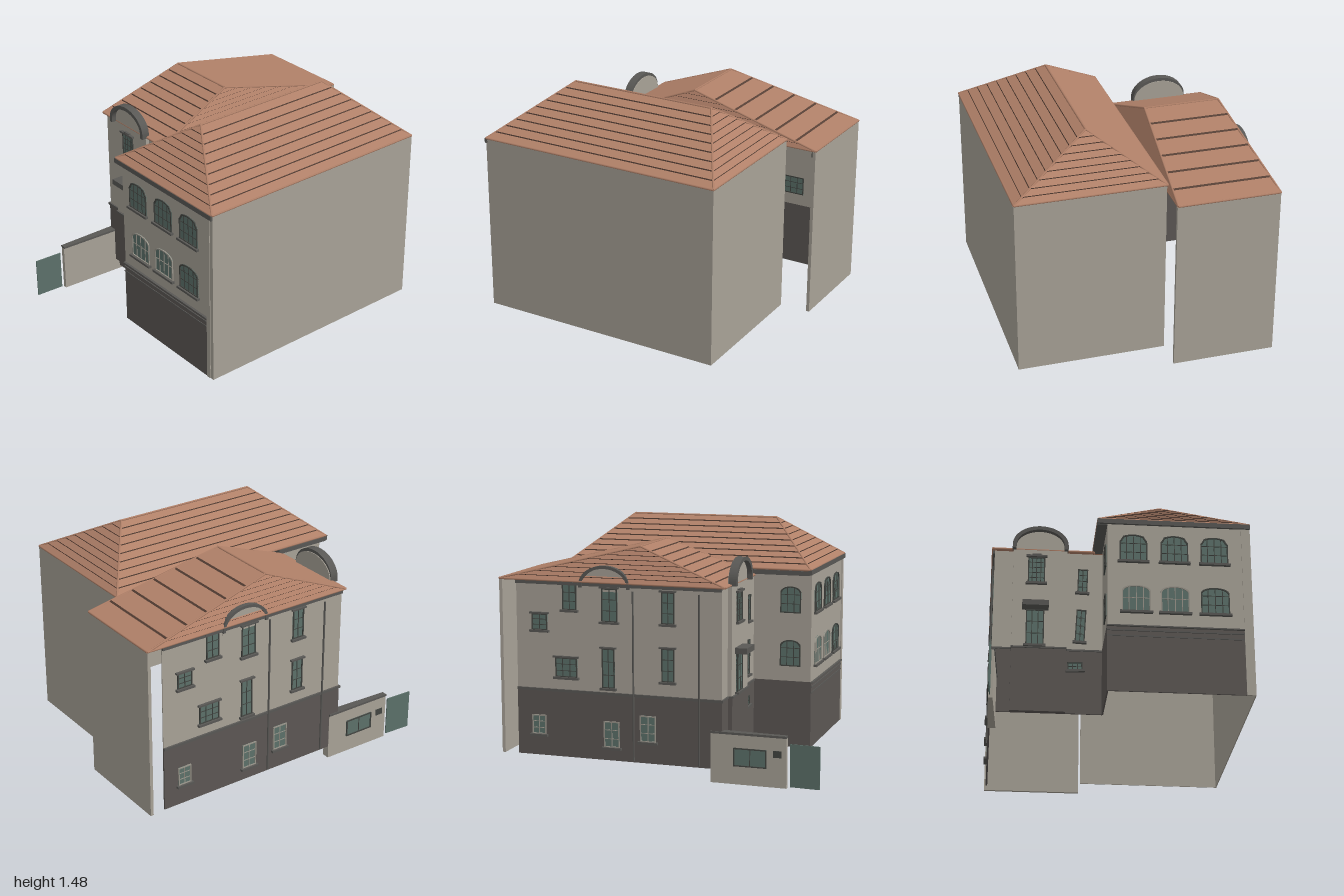
import * as THREE from 'three';

const mat = (name, color, side = THREE.FrontSide) => {
  const m = new THREE.MeshStandardMaterial({ color, side });
  m.name = name;
  return m;
};

export function createModel() {
  const root = new THREE.Group();
  root.name = 'townhouse';
  const plaster = mat('plaster', 0xa8a297);
  const plinth = mat('plinth', 0x5c5754);
  const tile = mat('roofTile', 0xb08068, THREE.DoubleSide);
  const joint = mat('tileJoint', 0x553f35, THREE.DoubleSide);
  const trim = mat('trim', 0x595855);
  const frameDark = mat('darkFrame', 0x424541);
  const frameLight = mat('lightFrame', 0x99958b);
  const glass = mat('glass', 0x5c716a);

  const add = (name, geo, m, parent = root) => {
    const mesh = new THREE.Mesh(geo, m);
    mesh.name = name;
    parent.add(mesh);
    return mesh;
  };
  // Box given by its two opposite corners
  const box = (name, m, x0, x1, y0, y1, z0, z1, parent = root) => {
    const mesh = add(name, new THREE.BoxGeometry(x1 - x0, y1 - y0, z1 - z0), m, parent);
    mesh.position.set((x0 + x1) / 2, (y0 + y1) / 2, (z0 + z1) / 2);
    return mesh;
  };
  const extrude = (name, shape, m, z0, z1, parent = root) => {
    const mesh = add(name, new THREE.ExtrudeGeometry(shape, { depth: z1 - z0, bevelEnabled: false, curveSegments: 20 }), m, parent);
    mesh.position.z = z0;
    return mesh;
  };

  // ---------- windows ----------
  // Outline from the bottom centre, with flat, arched or shouldered top
  const outline = (C, w, h, top, inset = 0) => {
    const s = new C(), a = w / 2 - inset, b = inset, t = h - inset;
    s.moveTo(-a, b);
    s.lineTo(a, b);
    if (top === 'arch') {
      s.lineTo(a, t - 0.04);
      s.bezierCurveTo(a * 0.85, t + 0.005, -a * 0.85, t + 0.005, -a, t - 0.04);
    } else if (top === 'shoulder') {
      s.lineTo(a, t - 0.045);
      s.quadraticCurveTo(a - 0.012, t - 0.03, a - 0.02, t - 0.012);
      s.quadraticCurveTo(0, t + 0.012, -a + 0.02, t - 0.012);
      s.quadraticCurveTo(-a + 0.012, t - 0.03, -a, t - 0.045);
    } else {
      s.lineTo(a, t);
      s.lineTo(-a, t);
    }
    s.closePath();
    return s;
  };
  const addWindow = (x, y, z, w, h, o = {}) => {
    const { top = 'flat', cols = 2, rows = 3, frame = frameDark, turn = 0, sill = true, hood = 0, tilt = 0 } = o;
    const g = new THREE.Group();
    g.name = 'window';
    g.position.set(x, y, z);
    g.rotation.set(0, turn, tilt);
    root.add(g);
    extrude('pane', outline(THREE.Shape, w, h, top), glass, -0.007, 0.002, g);
    const ring = outline(THREE.Shape, w, h, top);
    ring.holes.push(outline(THREE.Path, w, h, top, 0.007));
    extrude('windowFrame', ring, frame, -0.009, 0.008, g);
    const headY = top === 'flat' ? h : h - 0.012;
    for (let i = 1; i < cols; i++) {
      const mx = -w / 2 + (w * i) / cols;
      box('mullion', frame, mx - 0.0025, mx + 0.0025, 0, headY, -0.008, 0.005, g);
    }
    for (let i = 1; i < rows; i++) {
      const my = (h * i) / rows;
      box('glazingBar', frame, -w / 2 + 0.004, w / 2 - 0.004, my - 0.002, my + 0.002, -0.008, 0.005, g);
    }
    if (sill) box('sill', trim, -w / 2 - 0.012, w / 2 + 0.012, -0.012, 0.002, -0.004, 0.02, g);
    if (hood) box('hood', trim, -w / 2 - 0.012, w / 2 + 0.012, h, h + hood, -0.004, 0.018, g);
  };

  // ---------- right wing ----------
  const base = 0.08, belt = 0.495, T = 0.006;
  box('rightWall', plaster, 0.764, 0.77, base, 1.19, -0.8, 0.77);
  box('rightWingBackWall', plaster, -0.14, 0.77, base, 1.19, -0.8, -0.794);
  box('rightWingFrontWall', plaster, -0.09, 0.764, belt, 1.18, 0.77 - T, 0.77);
  box('rightWingPlinth', plinth, -0.09, 0.715, base, belt, 0.77 - T, 0.773);
  box('cornerPilaster', plaster, 0.715, 0.745, base, 1.17, 0.762, 0.776);
  box('cornerPier', plaster, 0.745, 0.77, base, 1.17, 0.762, 0.772);
  box('rightWingSideWall', plaster, -0.09, -0.09 + T, belt, 1.19, 0.4, 0.77);
  box('rightWingSidePlinth', plinth, -0.093, -0.09 + T, base, belt, 0.4, 0.773);
  for (const [y, d] of [[0.425, 0.004], [0.46, 0.006], [0.487, 0.012]])
    box('plinthBand', trim, -0.094, 0.715, y, y + 0.008, 0.77, 0.773 + d);
  box('frontCornice', trim, -0.15, 0.77, 1.165, 1.195, 0.762, 0.784);
  box('sideCornice', trim, -0.15, -0.085, 1.16, 1.188, 0.4, 0.77);

  for (const x of [0.065, 0.31, 0.55])
    addWindow(x, 0.92, 0.77, 0.165, 0.177, { top: 'shoulder', cols: 4, rows: 3 });
  [[0.08, frameLight], [0.31, frameLight], [0.548, frameDark]].forEach(([x, frame]) =>
    addWindow(x, 0.588, 0.77, 0.17, 0.178, { top: 'arch', cols: 4, rows: frame === frameDark ? 3 : 2, frame }));
  for (const y of [0.588, 0.92])
    addWindow(-0.09, y, 0.64, 0.13, 0.17, { top: 'arch', cols: 3, turn: -Math.PI / 2, sill: false });

  // ---------- left wing ----------
  const zf = 0.405, xl = -0.755;
  box('leftWingFrontWall', plaster, xl, -0.09, belt, 1.15, zf - T, zf);
  box('leftWingFrontPlinth', plinth, xl - 0.005, -0.09, base, belt, zf - T, zf + 0.004);
  box('leftWall', plaster, xl, xl + T, belt, 1.15, -0.89, zf);
  box('leftPlinth', plinth, xl - 0.005, xl + T, base, belt, -0.89, zf + 0.004);
  box('leftBelt', trim, xl - 0.012, xl, 0.48, belt, -0.89, zf + 0.01);
  box('frontBelt', trim, xl - 0.012, -0.09, 0.484, belt, zf, zf + 0.01);
  box('backWall', plaster, -0.77, -0.14, base, 1.15, -0.995, -0.975);
  box('leftEaveBoard', trim, -0.768, -0.75, 1.13, 1.15, -0.89, zf);

  // Arched gable plate and its cornice, drawn about the gable's centre line
  const gable = (r, ry, y0, spring) => {
    const s = new THREE.Shape();
    s.moveTo(-r, y0);
    s.lineTo(r, y0);
    s.lineTo(r, spring);
    s.absellipse(0, spring, r, ry, 0, Math.PI, false);
    s.closePath();
    return s;
  };
  const arch = (r, ry, y0, spring, t) => {
    const s = new THREE.Shape();
    s.moveTo(r, y0);
    s.lineTo(r, spring);
    s.absellipse(0, spring, r, ry, 0, Math.PI, false);
    s.lineTo(-r, y0);
    s.lineTo(-r + t, y0);
    s.lineTo(-r + t, spring);
    s.absellipse(0, spring, r - t, ry - t, Math.PI, 0, true);
    s.lineTo(r - t, y0);
    return s;
  };
  const bay = new THREE.Group();
  bay.name = 'frontBay';
  bay.position.x = -0.475;
  root.add(bay);
  extrude('bayWall', gable(0.165, 0.115, belt, 1.17), plaster, 0.405, 0.43, bay);
  box('bayPlinth', plinth, -0.165, 0.165, base, belt, 0.405, 0.434, bay);
  box('bayBelt', trim, -0.168, 0.168, 0.485, belt, 0.405, 0.442, bay);
  extrude('bayArch', arch(0.172, 0.13, 1.15, 1.175, 0.024), trim, 0.41, 0.46, bay);

  const sideGable = new THREE.Group();
  sideGable.name = 'sideGable';
  sideGable.position.set(xl, 0, -0.32);
  sideGable.rotation.y = -Math.PI / 2;
  root.add(sideGable);
  extrude('sideGableWall', gable(0.155, 0.11, 1.1, 1.13), plaster, -0.006, 0.004, sideGable);
  extrude('sideGableArch', arch(0.16, 0.12, 1.12, 1.135, 0.018), trim, -0.01, 0.018, sideGable);

  addWindow(-0.497, 0.925, 0.43, 0.105, 0.175, { cols: 4, rows: 5, hood: 0.012 });
  box('hoodCap', trim, -0.525, -0.47, 1.11, 1.12, 0.428, 0.446);
  addWindow(-0.5, 0.505, 0.434, 0.11, 0.235, { cols: 3, rows: 3 });
  box('doorHood', trim, -0.58, -0.42, 0.74, 0.775, 0.428, 0.505);
  addWindow(-0.214, 0.88, zf, 0.062, 0.16, { cols: 2, rows: 4, tilt: -0.03 });
  addWindow(-0.228, 0.548, zf, 0.06, 0.215, { cols: 2, rows: 4, tilt: -0.05 });
  addWindow(-0.253, 0.357, zf + 0.004, 0.09, 0.055, { cols: 3, rows: 2, tilt: 0.05 });

  // Left side windows: z, sill height, width, height
  const sideWindows = [
    [-0.545, 0.98, 0.09, 0.16], [-0.29, 0.92, 0.1, 0.2], [0.075, 0.925, 0.08, 0.19],
    [-0.74, 0.85, 0.1, 0.1], [-0.3, 0.52, 0.08, 0.24], [0.075, 0.58, 0.08, 0.2],
    [-0.57, 0.57, 0.14, 0.12], [-0.75, 0.21, 0.09, 0.12], [-0.28, 0.16, 0.1, 0.16], [-0.05, 0.21, 0.1, 0.16],
  ];
  for (const [z, y, w, h] of sideWindows) {
    const low = y < 0.4;
    addWindow(xl - (low ? 0.005 : 0), y, z, w, h,
      { turn: -Math.PI / 2, cols: w > 0.12 ? 3 : 2, hood: low ? 0 : 0.01, frame: low ? frameLight : frameDark });
  }
  for (const z of [-0.14, 0.27]) {
    const pipe = add('drainpipe', new THREE.CylinderGeometry(0.006, 0.006, 1.02, 8), trim);
    pipe.position.set(xl - 0.01, 0.6, z);
  }

  // ---------- roofs ----------
  const V = (x, y, z) => new THREE.Vector3(x, y, z);
  const quad = (list, a, b, c, d) => [a, b, c, a, c, d].forEach((p) => list.push(p.x, p.y, p.z));
  const mesh = (name, list, m) => {
    const g = new THREE.BufferGeometry();
    g.setAttribute('position', new THREE.Float32BufferAttribute(list, 3));
    g.computeVertexNormals();
    add(name, g, m);
  };
  // One slope of overlapping courses: eave a-b, top edge d-c
  const slope = (name, a, b, c, d, n) => {
    const up = b.clone().sub(a).cross(d.clone().sub(a)).normalize().multiplyScalar(0.006);
    const left = (t) => a.clone().lerp(d, t), right = (t) => b.clone().lerp(c, t);
    const tiles = [], joints = [];
    for (let i = 0; i < n; i++) {
      const t0 = i / n, t1 = (i + 1) / n, tb = Math.max(0, t0 - 0.08 / n);
      const l = left(t0).add(up), r = right(t0).add(up);
      quad(tiles, l, r, right(t1), left(t1));
      quad(joints, left(tb).addScaledVector(up, 0.15), right(tb).addScaledVector(up, 0.15), r, l);
    }
    mesh(name, tiles, tile);
    mesh(name + 'Joints', joints, joint);
  };
  const cap = (a, b) => {
    const c = add('ridgeCap', new THREE.CylinderGeometry(0.007, 0.007, a.distanceTo(b), 6), tile);
    c.position.copy(a).add(b).multiplyScalar(0.5);
    c.quaternion.setFromUnitVectors(V(0, 1, 0), b.clone().sub(a).normalize());
  };
  // Hipped roof from four eave corners and the two ridge ends on each side
  const hipRoof = (name, [fl, fr, br, bl], [rfl, rfr, rbr, rbl], [nf, nr, nb, nl]) => {
    slope(name + 'Front', fl, fr, rfr, rfl, nf);
    slope(name + 'Right', fr, br, rbr, rfr, nr);
    slope(name + 'Back', br, bl, rbl, rbr, nb);
    slope(name + 'Left', bl, fl, rfl, rbl, nl);
    [[fl, rfl], [fr, rfr], [br, rbr], [bl, rbl], [fl, fr], [fr, br], [br, bl], [bl, fl]].forEach(([p, q]) => cap(p, q));
    cap(rfl, rfl.distanceTo(rfr) > 0.01 ? rfr : rbl);
  };
  const rf = V(0.265, 1.468, 0.45), rb = V(0.265, 1.468, -0.5);
  hipRoof('rightRoof',
    [V(-0.145, 1.195, 0.775), V(0.768, 1.195, 0.775), V(0.768, 1.195, -0.798), V(-0.145, 1.195, -0.798)],
    [rf, rf, rb, rb], [9, 9, 9, 9]);
  const tl = V(-0.685, 1.368, -0.12), tr = V(-0.212, 1.368, -0.12);
  hipRoof('leftRoof',
    [V(-0.768, 1.155, 0.425), V(-0.145, 1.155, 0.425), V(-0.145, 1.155, -0.993), V(-0.768, 1.155, -0.993)],
    [tl, tr, tr, tl], [8, 8, 6, 8]);

  // ---------- yard wall and gate ----------
  const plan = (grow) => {
    const s = new THREE.Shape();
    s.moveTo(-0.762 - grow, -0.34);
    s.lineTo(-0.715 + grow, -0.34);
    s.lineTo(-0.74 + grow, -0.8);
    s.lineTo(-0.765 - grow, -0.8);
    s.closePath();
    return s;
  };
  const slab = (name, grow, m, y0, y1) => {
    const s = add(name, new THREE.ExtrudeGeometry(plan(grow), { depth: y1 - y0, bevelEnabled: false }), m);
    s.rotation.x = -Math.PI / 2;
    s.position.y = y0;
  };
  slab('yardWall', 0, plaster, 0, 0.297);
  slab('yardWallCoping', 0.005, trim, 0.297, 0.31);
  addWindow(-0.764, 0.11, 0.58, 0.2, 0.11, { turn: -Math.PI / 2, cols: 2, rows: 1, sill: false });
  box('wallPlaque', frameDark, -0.77, -0.762, 0.18, 0.22, 0.72, 0.77);
  const gate = box('gate', glass, -0.003, 0.003, 0.01, 0.265, -0.09, 0.09);
  gate.position.set(-0.762, 0.1375, 0.91);
  gate.rotation.y = -0.05;
  return root;
}
